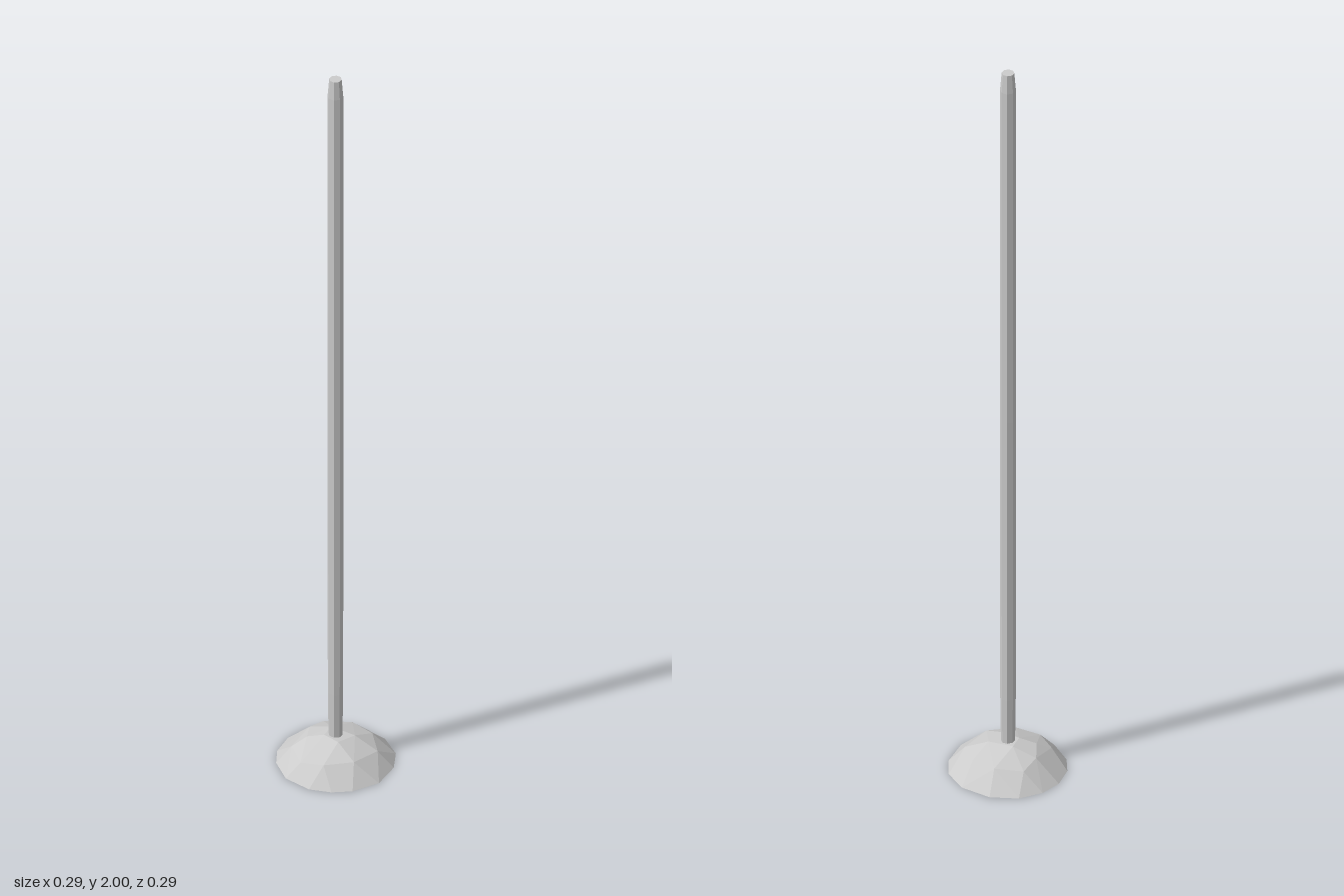
import * as THREE from 'three';
import { ConvexGeometry } from 'three/addons/geometries/ConvexGeometry.js';

const material = new THREE.MeshStandardMaterial({ color: 0xcccccc, flatShading: true });

// Height of the spherical cap that the base facets touch
const CAP_RADIUS = 0.1775;
const CAP_HEIGHT = 0.078;
function capHeight(x, z) {
  return Math.sqrt(CAP_RADIUS ** 2 - x * x - z * z) - CAP_RADIUS + CAP_HEIGHT;
}

// Faceted, slightly uneven stone-like dome
function createBase() {
  const rim = [
    [0.05, -0.14], [0.107, -0.103], [0.137, -0.05], [0.145, 0.025], [0.112, 0.09],
    [0.072, 0.123], [0.02, 0.143], [-0.053, 0.136], [-0.11, 0.094], [-0.137, 0.05],
    [-0.147, -0.01], [-0.133, -0.065], [-0.095, -0.115], [-0.03, -0.145],
  ];
  const dome = [
    [0.1, -0.035], [0.085, 0.045], [0.03, 0.095], [-0.03, 0.107], [-0.085, 0.065],
    [-0.06, 0.035], [-0.085, -0.012], [-0.08, -0.065], [-0.015, -0.095], [0.05, -0.085],
    [0.04, -0.025], [0.025, 0.025], [-0.025, -0.02], [-0.02, 0.02],
  ];
  const points = [
    ...rim.map(([x, z]) => new THREE.Vector3(x, 0, z)),
    ...dome.map(([x, z]) => new THREE.Vector3(x, capHeight(x, z), z)),
  ];
  const mesh = new THREE.Mesh(new ConvexGeometry(points), material);
  mesh.name = 'base';
  return mesh;
}

// Eight-sided pole with a chamfered tip
function createPole() {
  const profile = [
    [0, 0.05], [0.017, 0.05], [0.019, 0.2], [0.02, 1.0], [0.0195, 1.95], [0.0155, 2], [0, 2],
  ].map(([r, y]) => new THREE.Vector2(r, y));
  const mesh = new THREE.Mesh(new THREE.LatheGeometry(profile, 8, Math.PI / 8), material);
  mesh.name = 'pole';
  return mesh;
}

export function createModel() {
  const group = new THREE.Group();
  group.name = 'poleOnBase';
  group.add(createBase(), createPole());
  return group;
}
